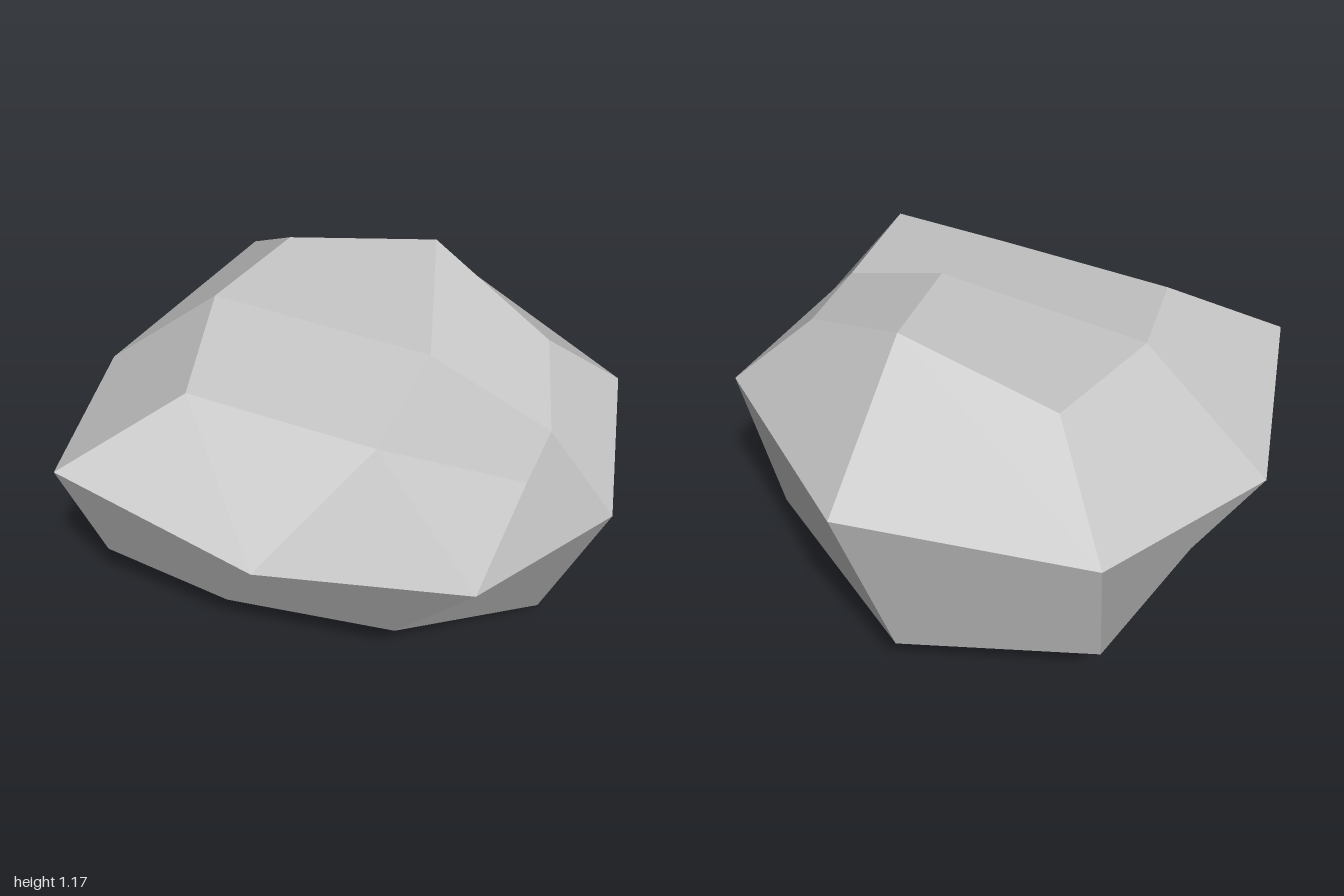
import * as THREE from 'three';

// Three layers of stone corners (bottom, middle, top);
// each layer has rows from back to front, each row runs from -x to +x.
const LAYERS = [
  [
    [[-0.833, 0.218, -0.41], [-0.262, 0.186, -0.82], [0.54, 0.242, -0.62]],
    [[-0.763, 0.23, 0.21], [-0.13, 0, 0.05], [0.76, 0.037, -0.07]],
    [[-0.6, 0.26, 0.775], [-0.11, 0.202, 0.69], [0.48, 0.217, 0.49]],
  ],
  [
    [[-0.95, 0.81, -0.595], [-0.15, 0.78, -0.97], [0.73, 0.737, -0.64]],
    [[-1, 0.67, 0.248], null, [1, 0.608, -0.06]],
    [[-0.59, 0.76, 0.966], [0.13, 0.566, 0.828], [0.826, 0.64, 0.566]],
  ],
  [
    [[-0.565, 1.065, -0.343], [0.015, 1.175, -0.477], [0.54, 0.965, -0.407]],
    [[-0.53, 1.065, 0.155], [0.31, 1.055, 0.03], [0.76, 0.895, -0.018]],
    [[-0.3, 0.987, 0.598], [0.385, 0.97, 0.47], [0.86, 0.972, 0.35]],
  ],
];

// Cuts each four-sided facet into two triangles and gives both one shared
// normal, so the facet reads as a single plane
function finishFacets(geometry) {
  const { position, normal } = geometry.attributes;
  const corner = (i) => new THREE.Vector3().fromBufferAttribute(position, i);
  for (let i = 0; i < position.count; i += 6) {
    const [a, b, d, c] = [i, i + 1, i + 2, i + 4].map(corner);
    const n = c.clone().sub(a).cross(d.clone().sub(b)).normalize();
    const isSide = Math.floor(i / 24) < 2 || Math.floor(i / 24) > 3;
    const order = isSide ? [a, b, c, a, c, d] : [a, b, d, b, c, d];
    order.forEach((p, k) => {
      position.setXYZ(i + k, p.x, p.y, p.z);
      normal.setXYZ(i + k, n.x, n.y, n.z);
    });
  }
}

export function createModel() {
  const stone = new THREE.MeshStandardMaterial({ color: 0xc7c7c7 });
  stone.name = 'stone grey';

  // Box with two segments per side, its grid points moved to the stone corners
  const box = new THREE.BoxGeometry(2, 2, 2, 2, 2, 2);
  const pos = box.attributes.position;
  const step = (v) => Math.round(v) + 1;
  for (let i = 0; i < pos.count; i++) {
    const p = LAYERS[step(pos.getY(i))][step(pos.getZ(i))][step(pos.getX(i))];
    pos.setXYZ(i, ...p);
  }
  const geometry = box.toNonIndexed();
  geometry.clearGroups();
  finishFacets(geometry);

  const boulder = new THREE.Mesh(geometry, stone);
  boulder.name = 'boulder';

  const group = new THREE.Group();
  group.name = 'rock';
  group.add(boulder);
  return group;
}
